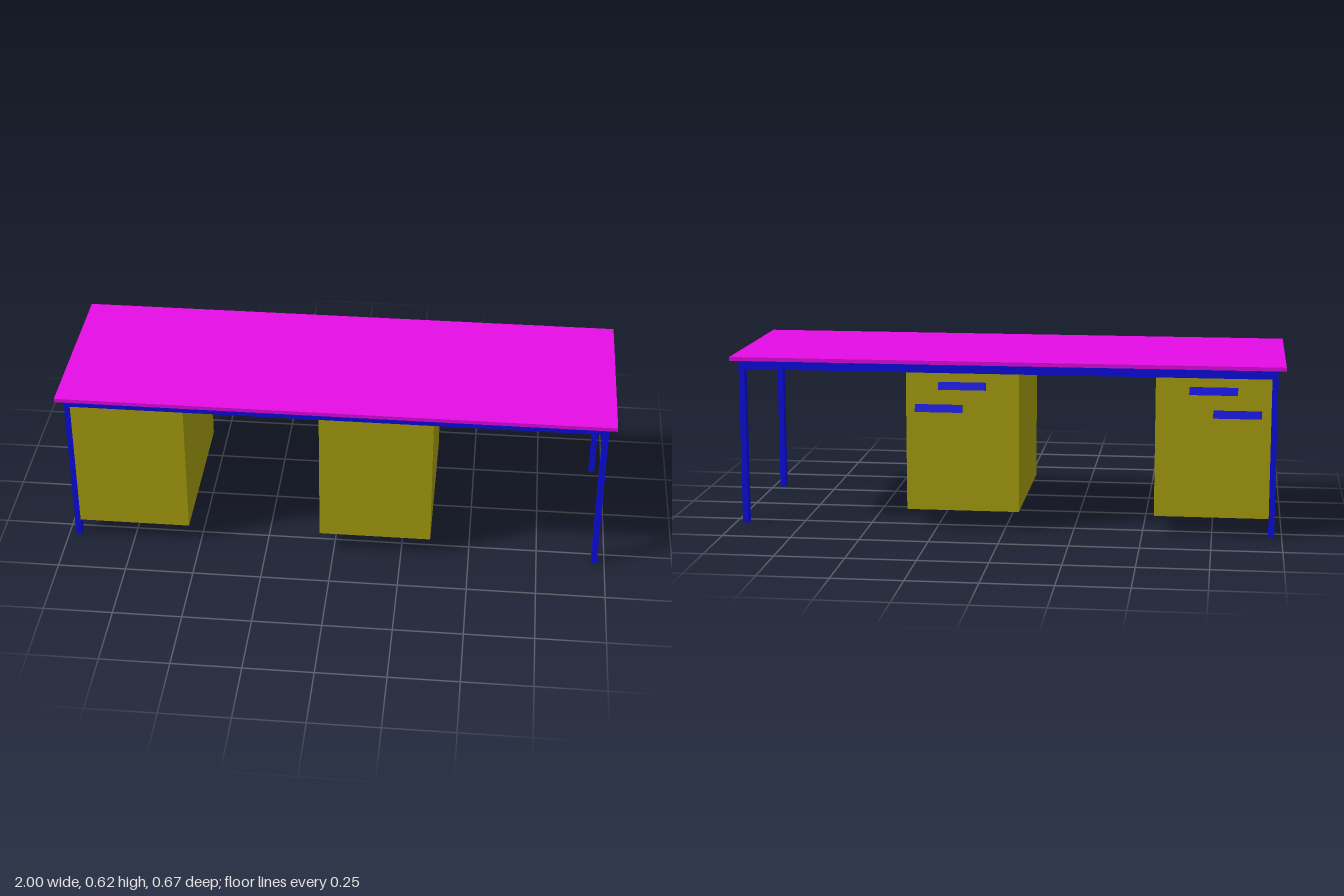
import * as THREE from 'three';

const mat = (color) => new THREE.MeshStandardMaterial({ color, flatShading: true });

export function createModel() {
  const desk = new THREE.Group();
  desk.name = 'desk';
  const topMat = mat(0xe60ce6);
  const frameMat = mat(0x0c0ce6);
  const cabinetMat = mat(0xaca311);

  // Box given by its low and high bounds on each axis
  function box(name, material, [x0, x1], [y0, y1], [z0, z1], parent = desk) {
    const mesh = new THREE.Mesh(new THREE.BoxGeometry(x1 - x0, y1 - y0, z1 - z0), material);
    mesh.position.set((x0 + x1) / 2, (y0 + y1) / 2, (z0 + z1) / 2);
    mesh.name = name;
    parent.add(mesh);
  }

  const frameX = 0.973, frameZ = 0.309; // outer half sizes of the frame
  const thin = 0.021, wide = 0.034; // section of the frame bars
  const topY = 0.61, railY = topY - wide;

  box('tabletop', topMat, [-1, 1], [topY, 0.624], [-0.335, 0.335]);

  // Frame: four legs, two end rails, two long rails
  const span = (sign, outer, size) => (sign > 0 ? [outer - size, outer] : [-outer, size - outer]);
  for (const s of [-1, 1]) {
    const endX = span(s, frameX, thin);
    for (const t of [-1, 1]) box('leg', frameMat, endX, [0, topY], span(t, frameZ, wide));
    box('endRail', frameMat, endX, [railY, topY], [wide - frameZ, frameZ - wide]);
    box('longRail', frameMat, [thin - frameX, frameX - thin], [railY, topY], span(s, frameZ, thin));
  }

  // Wedge-shaped drawer handle: profile (outward, up) extruded along the width
  const handleWidth = 0.172;
  const profile = new THREE.Shape([[0, 0], [0.012, 0], [0.005, 0.027], [0, 0.027]]
    .map(([x, y]) => new THREE.Vector2(x, y)));
  const handleGeo = new THREE.ExtrudeGeometry(profile, { depth: handleWidth, bevelEnabled: false });
  handleGeo.translate(0, 0, -handleWidth / 2);
  handleGeo.rotateY(Math.PI / 2); // outward now points to -z

  // Two drawer cabinets, the lower handle shifted to the outer side
  const half = 0.205;
  for (const [x, outer] of [[-0.747, -1], [0.152, 1]]) {
    const cabinet = new THREE.Group();
    cabinet.name = 'drawerCabinet';
    box('cabinetBody', cabinetMat, [x - half, x + half], [0.07, railY], [-frameZ, frameZ], cabinet);
    for (const [dx, y] of [[0, 0.517], [outer * 0.086, 0.434]]) {
      const handle = new THREE.Mesh(handleGeo, frameMat);
      handle.position.set(x + dx, y, -frameZ);
      handle.name = 'drawerHandle';
      cabinet.add(handle);
    }
    desk.add(cabinet);
  }
  return desk;
}
